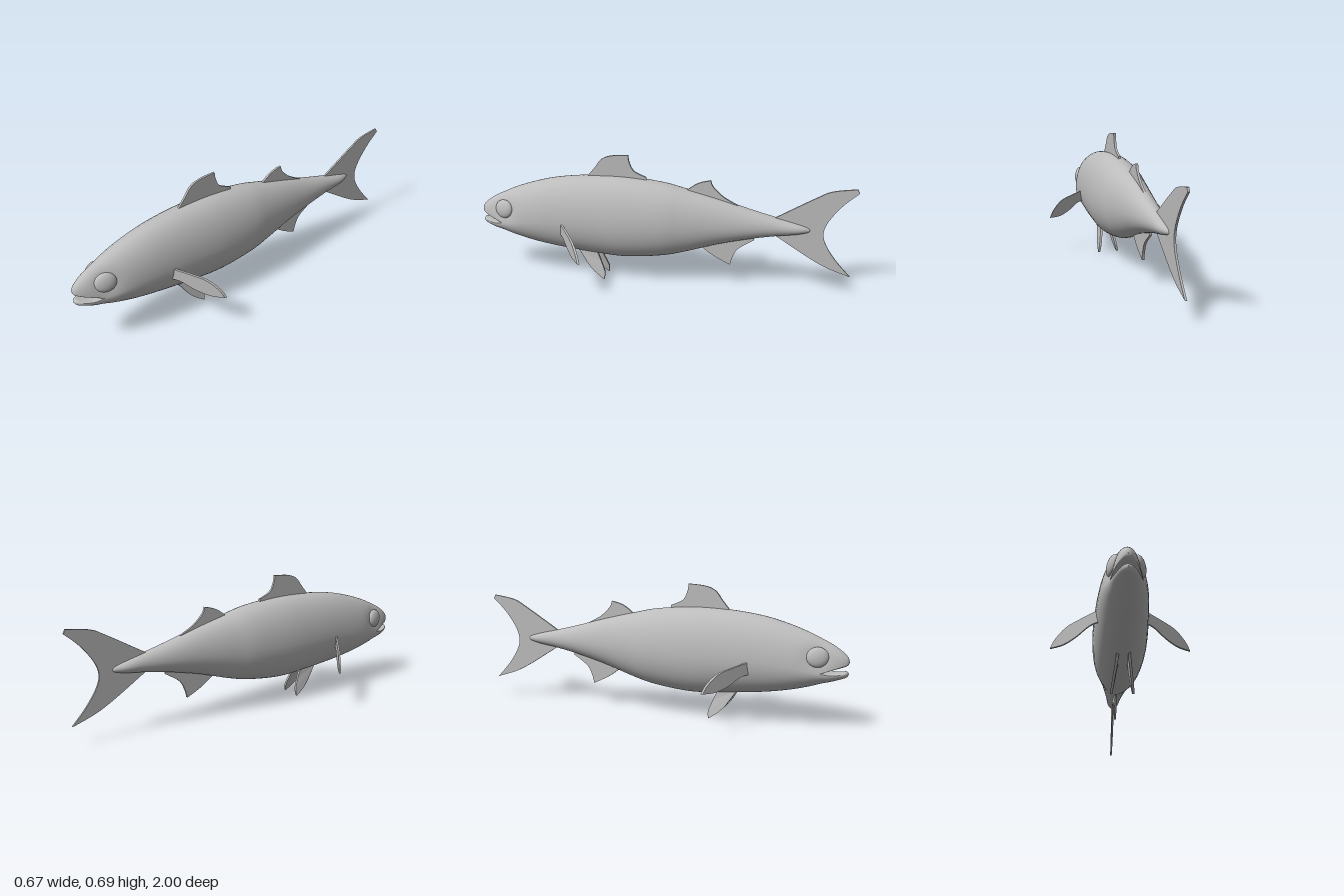
import * as THREE from 'three';

const grey = new THREE.MeshStandardMaterial({ color: 0xbcbcbc });
grey.name = 'fish grey';

const EYE = { x: 0.06, y: 0.367, z: 0.855 };

// Smooth loft through stations [z, top, bottom, halfWidth, widestY], listed from head to tail
function loft(stations, steps, capFront) {
  const sides = 48;
  const curve = (f) => new THREE.CatmullRomCurve3(stations.map(f), false, 'catmullrom', 0.5);
  const heights = curve(([z, top, bot]) => new THREE.Vector3(z, top, bot));
  const widths = curve(([, , , w, mid]) => new THREE.Vector3(w, mid, 0));
  const pos = [], idx = [];
  const addRing = (t) => {
    const { x: z, y: top, z: bot } = heights.getPoint(t);
    const { x: w, y: mid } = widths.getPoint(t);
    for (let j = 0; j < sides; j++) {
      const a = (j / sides) * Math.PI * 2, s = Math.sin(a);
      const y = mid + s * (s > 0 ? top - mid : mid - bot);
      // shallow eye socket
      const d = Math.exp(-(((z - EYE.z) / 0.06) ** 2) - ((y - EYE.y) / 0.055) ** 2);
      pos.push(w * Math.cos(a) * (1 - 0.17 * d), y, z);
    }
    return { mid, z };
  };
  for (let i = 0; i <= steps; i++) addRing(i / steps);
  for (let i = 0; i < steps; i++) {
    for (let j = 0; j < sides; j++) {
      const k = (j + 1) % sides, r = i * sides, n = r + sides;
      idx.push(r + j, n + j, r + k, n + j, n + k, r + k);
    }
  }
  if (capFront) {
    const start = pos.length / 3, { mid, z } = addRing(0);
    const centre = pos.length / 3;
    pos.push(0, mid, z);
    for (let j = 0; j < sides; j++) idx.push(centre, start + j, start + ((j + 1) % sides));
  }
  const geo = new THREE.BufferGeometry();
  geo.setAttribute('position', new THREE.Float32BufferAttribute(pos, 3));
  geo.setIndex(idx);
  geo.computeVertexNormals();
  return geo;
}

// Thin plate whose outline is a chain of smooth runs with sharp corners between them
function plate(runs, depth = 0.012) {
  const shape = new THREE.Shape();
  shape.moveTo(...runs[0][0]);
  runs.forEach((run, i) => {
    const pts = (i ? run : run.slice(1)).map(([u, v]) => new THREE.Vector2(u, v));
    shape.splineThru(pts);
  });
  const geo = new THREE.ExtrudeGeometry(shape, { depth, bevelEnabled: false, curveSegments: 6 });
  return geo.translate(0, 0, -depth / 2);
}

// Plate drawn in (z, y) and standing on the centre plane
const sidePlate = (runs, depth) => plate(runs, depth).rotateY(-Math.PI / 2);

// Moves every vertex by a rule
function warp(geo, rule) {
  const p = geo.attributes.position, v = new THREE.Vector3();
  for (let i = 0; i < p.count; i++) {
    rule(v.fromBufferAttribute(p, i));
    p.setXYZ(i, v.x, v.y, v.z);
  }
  geo.computeVertexNormals();
  return geo;
}

export function createModel() {
  const fish = new THREE.Group();
  fish.name = 'fish';
  const add = (name, geo, x = 0.004) => {
    const mesh = new THREE.Mesh(geo, grey);
    mesh.name = name;
    mesh.position.x = x;
    fish.add(mesh);
    return mesh;
  };

  // Body from the mouth corner to the tail root
  add('body', loft([
    [0.87, 0.447, 0.228, 0.073, 0.287],
    [0.8, 0.478, 0.205, 0.092, 0.3],
    [0.7, 0.513, 0.18, 0.108, 0.315],
    [0.57, 0.546, 0.158, 0.12, 0.33],
    [0.4, 0.567, 0.14, 0.131, 0.335],
    [0.2, 0.572, 0.127, 0.137, 0.335],
    [0, 0.553, 0.148, 0.128, 0.34],
    [-0.13, 0.525, 0.18, 0.108, 0.345],
    [-0.3, 0.483, 0.235, 0.082, 0.348],
    [-0.47, 0.435, 0.278, 0.06, 0.35],
    [-0.6, 0.402, 0.303, 0.043, 0.35],
    [-0.7, 0.378, 0.318, 0.033, 0.348],
    [-0.76, 0.36, 0.332, 0.014, 0.346],
    [-0.775, 0.346, 0.344, 0.001, 0.345],
  ], 104, true));

  // Jaws, parted by the open mouth
  add('upperJaw', loft([
    [1, 0.343, 0.341, 0.001, 0.342],
    [0.992, 0.366, 0.325, 0.018, 0.335],
    [0.965, 0.392, 0.314, 0.037, 0.322],
    [0.92, 0.422, 0.301, 0.057, 0.306],
    [0.87, 0.447, 0.286, 0.073, 0.287],
  ], 28, false));
  add('lowerJaw', loft([
    [0.998, 0.283, 0.281, 0.001, 0.282],
    [0.988, 0.296, 0.267, 0.02, 0.284],
    [0.965, 0.292, 0.257, 0.038, 0.282],
    [0.92, 0.285, 0.242, 0.058, 0.279],
    [0.87, 0.288, 0.228, 0.073, 0.287],
  ], 28, false));

  // Fins on the centre line
  add('frontDorsalFin', sidePlate([
    [[0.41, 0.55], [0.36, 0.61], [0.32, 0.66], [0.265, 0.682], [0.177, 0.69]],
    [[0.17, 0.65], [0.145, 0.605], [0.08, 0.575]],
    [[0.08, 0.55]],
  ]));
  add('rearDorsalFin', sidePlate([
    [[-0.12, 0.51], [-0.19, 0.56], [-0.257, 0.58]],
    [[-0.272, 0.545], [-0.326, 0.495], [-0.4, 0.455]],
    [[-0.4, 0.43]],
  ]));
  add('analFin', sidePlate([
    [[-0.19, 0.23], [-0.28, 0.165], [-0.37, 0.12]],
    [[-0.38, 0.16], [-0.41, 0.215], [-0.49, 0.27]],
    [[-0.49, 0.3]],
  ]));
  add('tailFin', sidePlate([
    [[-0.59, 0.4], [-0.79, 0.52], [-0.87, 0.56], [-0.99, 0.58]],
    [[-1, 0.56]],
    [[-0.925, 0.49], [-0.86, 0.4], [-0.84, 0.33], [-0.86, 0.265], [-0.915, 0.185], [-0.988, 0.105]],
    [[-0.87, 0.145], [-0.765, 0.2], [-0.59, 0.31]],
  ], 0.01));

  // Paired parts, left is +x
  for (const [side, s] of [['left', 1], ['right', -1]]) {
    // Eye: flattened ball set into the socket
    const eye = add(side + 'Eye', new THREE.SphereGeometry(1, 32, 20), 0.004 + s * EYE.x);
    eye.position.set(eye.position.x, EYE.y, EYE.z);
    eye.scale.set(0.023, 0.05, 0.054);
    eye.rotation.set(0, -s * 0.3, s * 0.12);

    // Pectoral fin swept back from the flank
    const outline = [
      [[0.1, 0.33], [0.15, 0.318], [0.2, 0.307], [0.26, 0.288], [0.31, 0.245], [0.335, 0.203]],
      [[0.27, 0.202], [0.21, 0.223], [0.15, 0.258], [0.1, 0.265]],
    ].map((run) => run.map(([x, y]) => [s * x, y]));
    add(side + 'PectoralFin', warp(plate(outline), (v) => {
      v.z += 0.51 - 0.72 * (Math.abs(v.x) - 0.13);
    }), 0);

    // Pelvic fin splayed out below the belly
    add(side + 'PelvicFin', warp(sidePlate([
      [[0.45, 0.16], [0.405, 0.09], [0.36, 0.04], [0.305, 0]],
      [[0.302, 0.04], [0.325, 0.1], [0.35, 0.16]],
    ]), (v) => {
      v.x += s * (0.053 - 0.19 * Math.min(v.y, 0.13));
    }), 0.012);
  }
  return fish;
}
